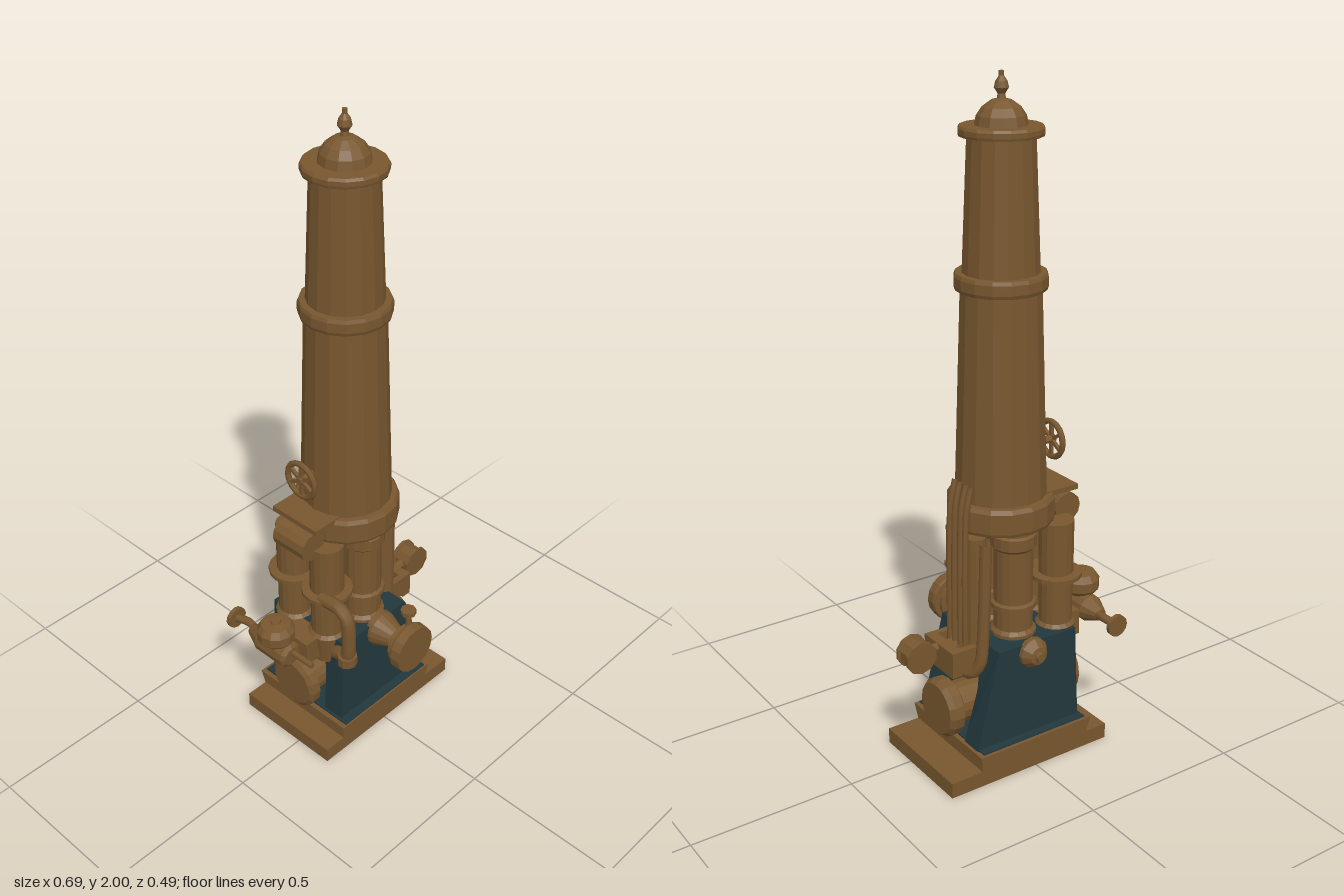
import * as THREE from 'three';

export function createModel() {
  const model = new THREE.Group();
  const bronze = new THREE.MeshStandardMaterial({ color: 0x78572f });
  bronze.name = 'bronze';
  const green = new THREE.MeshStandardMaterial({ color: 0x22383d });
  green.name = 'dark green paint';

  const add = (name, geo, x = 0, y = 0, z = 0, mat = bronze) => {
    const m = new THREE.Mesh(geo, mat);
    m.name = name;
    m.position.set(x, y, z);
    model.add(m);
    return m;
  };
  const box = (name, x0, x1, y0, y1, z0, z1, mat) =>
    add(name, new THREE.BoxGeometry(x1 - x0, y1 - y0, z1 - z0),
      (x0 + x1) / 2, (y0 + y1) / 2, (z0 + z1) / 2, mat);
  // turned part: profile of [radius, offset] pairs along the given axis
  const turn = (name, profile, x, y, z, axis = 'y', seg = 16) => {
    const g = new THREE.LatheGeometry(profile.map(p => new THREE.Vector2(...p)), seg);
    const flat = g.toNonIndexed();
    flat.computeVertexNormals();
    if (axis === 'x') flat.rotateZ(-Math.PI / 2);
    if (axis === 'z') flat.rotateX(Math.PI / 2);
    return add(name, flat, x, y, z);
  };
  const drum = (name, r, a, b, x, y, z, axis, seg) =>
    turn(name, [[0, a], [r, a], [r, b], [0, b]], x, y, z, axis, seg);
  const pipe = (name, pts, r) => add(name, new THREE.TubeGeometry(
    new THREE.CatmullRomCurve3(pts.map(p => new THREE.Vector3(...p)), false, 'catmullrom', 0.3), 20, r, 8));

  // base plate and plinth
  box('basePlate', -0.26, 0.297, 0, 0.048, -0.227, 0.125);
  const plinth = box('plinth', -0.195, 0.2, 0.048, 0.1, -0.235, 0.133);
  const pp = plinth.geometry.attributes.position;
  for (let i = 0; i < pp.count; i++) if (pp.getY(i) < 0) pp.setXYZ(i, pp.getX(i) * 0.96, pp.getY(i), pp.getZ(i) * 0.96);
  box('trayFloor', -0.18, 0.185, 0.1, 0.104, -0.225, 0.128, green);

  // tapered frame, arched through from side to side
  const s = new THREE.Shape();
  s.moveTo(-0.2, 0.1);
  s.lineTo(-0.13, 0.1);
  s.lineTo(-0.13, 0.25);
  s.quadraticCurveTo(-0.13, 0.34, -0.05, 0.34);
  s.quadraticCurveTo(0.03, 0.34, 0.03, 0.25);
  s.lineTo(0.03, 0.1);
  s.lineTo(0.1, 0.1);
  s.lineTo(0.1, 0.4);
  s.lineTo(-0.2, 0.4);
  s.closePath();
  const frame = new THREE.ExtrudeGeometry(s, { depth: 1, bevelEnabled: false, curveSegments: 8 });
  const fp = frame.attributes.position;
  for (let i = 0; i < fp.count; i++) {
    const z = fp.getX(i), y = fp.getY(i), t = (y - 0.1) / 0.3;
    const x0 = -0.172 + 0.015 * t, x1 = 0.19 - 0.075 * Math.pow(t, 0.75);
    // shape x becomes z, so the extrusion runs from +x to -x
    fp.setXYZ(i, x1 + (x0 - x1) * fp.getZ(i), y, z);
  }
  frame.computeVertexNormals();
  add('greenFrame', frame, 0, 0, 0, green);

  // main tapering column with collars, dome and finial
  turn('column', [[0, 0.74], [0.153, 0.74], [0.157, 0.75], [0.157, 0.81], [0.15, 0.822], [0.134, 0.822],
    [0.115, 1.42], [0.127, 1.42], [0.131, 1.43], [0.131, 1.458], [0.127, 1.468], [0.109, 1.468],
    [0.094, 1.83], [0.115, 1.833], [0.117, 1.84], [0.117, 1.853], [0.112, 1.86], [0, 1.86]], 0, 0, -0.04);
  turn('dome', [[0.072, 1.86], [0.067, 1.885], [0.052, 1.907], [0.028, 1.924], [0.012, 1.928], [0.01, 1.94],
    [0.02, 1.955], [0.016, 1.972], [0.007, 1.985], [0.007, 1.998], [0, 2]], 0, 0, -0.04, 'y', 12);

  // two stout pillars carrying the column
  for (const z of [0.025, -0.105])
    turn('pillar', [[0.068, 0.39], [0.068, 0.41], [0.058, 0.42], [0.058, 0.48], [0.068, 0.485], [0.068, 0.5],
      [0.058, 0.505], [0.058, 0.67], [0.068, 0.68], [0.068, 0.715], [0.06, 0.72], [0.06, 0.75]], 0, 0, z);

  // hubs at both ends of the cross drum
  drum('crossDrum', 0.062, -0.18, 0.18, 0, 0.19, -0.055, 'x');
  turn('leftHub', [[0.06, 0.18], [0.088, 0.195], [0.09, 0.225], [0.078, 0.24], [0, 0.24]], 0, 0.19, -0.055, 'x')
    .scale.x = 1;
  turn('rightHub', [[0, -0.23], [0.075, -0.23], [0.09, -0.22], [0.09, -0.195], [0.06, -0.18]], 0, 0.195, -0.055, 'x');

  // front valve: neck, nut, end disc and T handle
  turn('frontNeck', [[0.056, 0.09], [0.055, 0.11], [0.035, 0.163], [0.03, 0.168], [0.03, 0.185], [0.062, 0.188],
    [0.062, 0.2], [0.04, 0.205], [0.075, 0.207], [0.078, 0.215], [0.076, 0.245], [0, 0.245]], 0, 0.37, 0, 'z');
  drum('frontStem', 0.008, 0.41, 0.49, 0.01, 0, 0.205, 'y', 8);
  drum('frontStemKnob', 0.024, 0.485, 0.5, 0.01, 0, 0.205, 'y', 8);
  // rear boss
  turn('rearBoss', [[0, -0.248], [0.013, -0.248], [0.015, -0.238], [0.028, -0.235], [0.046, -0.212], [0.046, -0.195]],
    0, 0.37, 0, 'z', 12);

  // paired cylinders on the right flank
  for (const z of [-0.13, 0.01]) {
    turn('sideCylinder', [[0.045, 0.3], [0.06, 0.4], [0.05, 0.41], [0.05, 0.55], [0.077, 0.552],
      [0.077, 0.565], [0.052, 0.567], [0.052, 0.73], [0, 0.73]], -0.135, 0, z);
  }
  box('sideManifold', -0.235, -0.12, 0.32, 0.4, -0.12, 0.02);
  drum('crossTube', 0.045, -0.11, 0.01, -0.19, 0.745, 0, 'z', 12);
  box('crossTubeBracket', -0.19, -0.1, 0.71, 0.77, -0.09, -0.01);
  box('platform', -0.205, -0.06, 0.81, 0.826, -0.137, 0.038);
  pipe('bentPipe', [[-0.18, 0.56, 0.03], [-0.18, 0.565, 0.1], [-0.18, 0.54, 0.135],
    [-0.18, 0.49, 0.142], [-0.18, 0.4, 0.138], [-0.17, 0.37, 0.08]], 0.021);
  turn('pipeFlange', [[0, 0.37], [0.03, 0.37], [0.03, 0.4], [0, 0.4]], -0.18, 0, 0.135, 'y', 10);

  // handwheel with spokes and stem
  const wheel = add('handwheelRim', new THREE.TorusGeometry(0.054, 0.009, 6, 16), -0.172, 0.945, -0.05);
  wheel.rotation.y = Math.PI / 2;
  for (let i = 0; i < 3; i++) {
    const spoke = add('handwheelSpoke', new THREE.BoxGeometry(0.01, 0.105, 0.01), -0.172, 0.945, -0.05);
    spoke.rotation.x = i * Math.PI / 3;
  }
  drum('handwheelStem', 0.012, -0.182, -0.11, 0, 0.945, -0.05, 'x', 8);

  // outer valve on the right flank
  turn('outerValveBody', [[0, -0.165], [0.018, -0.163], [0.042, -0.11], [0.042, 0.0], [0.03, 0.01], [0, 0.01]],
    -0.285, 0.385, 0, 'z', 12);
  turn('outerValveCap', [[0, 0.42], [0.045, 0.42], [0.058, 0.435], [0.058, 0.465], [0.045, 0.485], [0.016, 0.488],
    [0.014, 0.495], [0, 0.495]], -0.292, 0, -0.05, 'y', 12);
  drum('outerValveArm', 0.03, -0.27, -0.2, 0, 0.36, -0.05, 'x', 10);
  drum('outerValveRod', 0.009, 0, 0.09, -0.28, 0.395, 0, 'z', 8);
  pipe('outerValvePipe', [[-0.28, 0.385, -0.14], [-0.275, 0.39, -0.19], [-0.283, 0.385, -0.235]], 0.013);
  drum('outerValveFlange', 0.034, -0.246, -0.232, -0.283, 0.385, 0, 'z', 12);

  // left flank: upright casing, bracket and slender rods
  box('leftCasing', 0.082, 0.152, 0.39, 0.73, -0.07, -0.02);
  for (const z of [0.0, -0.095])
    drum('leftUpright', 0.032, 0.33, 0.73, 0.125, 0, z, 'y', 12);
  for (const z of [-0.02, -0.045, -0.075, -0.1])
    pipe('slenderRod', [[0.165, 0.36, z], [0.165, 0.6, z], [0.16, 0.8, z], [0.142, 0.885, z]], 0.009);
  pipe('bentDrain', [[0.12, 0.72, -0.14], [0.13, 0.5, -0.145], [0.14, 0.36, -0.145],
    [0.155, 0.31, -0.12], [0.165, 0.305, -0.06]], 0.018);
  box('bracketBack', 0.12, 0.225, 0.33, 0.4, -0.13, -0.11);
  box('bracketFront', 0.12, 0.225, 0.33, 0.4, 0.0, 0.02);
  box('bracketEnd', 0.195, 0.228, 0.32, 0.4, -0.13, 0.02);
  box('bracketWeb', 0.12, 0.2, 0.29, 0.39, -0.08, -0.03);

  // spool at the end of a short arm
  drum('spoolArm', 0.014, 0.2, 0.27, 0, 0.385, -0.045, 'x', 8);
  turn('spool', [[0, -0.077], [0.05, -0.077], [0.05, -0.068], [0.043, -0.066], [0.043, -0.024],
    [0.05, -0.022], [0.05, -0.013], [0, -0.013]], 0.297, 0.385, 0, 'z', 10);

  return model;
}
